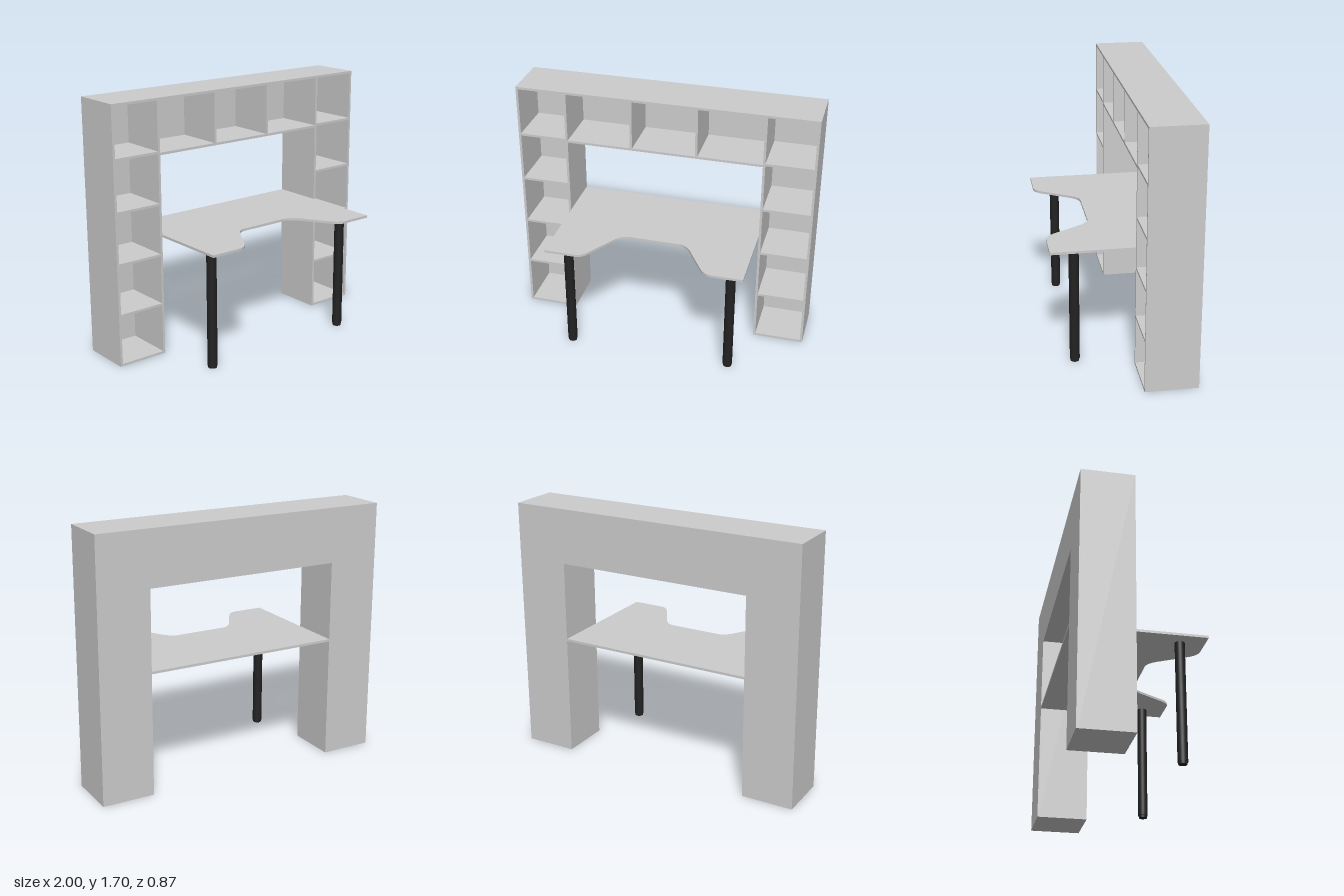
import * as THREE from 'three';

export function createModel() {
  const model = new THREE.Group();
  const grey = new THREE.MeshStandardMaterial({ color: 0xcccccc });
  const black = new THREE.MeshStandardMaterial({ color: 0x222222 });

  const T = 0.016;                      // board thickness
  const H = 1.695;                      // overall height
  const IN = 0.655;                     // inner face of the side towers
  const BACK = -0.435, FRONT = -0.095;
  const SHEET = 0.01;                   // back panel thickness

  function board(parent, name, x0, x1, y0, y1, z0 = BACK + SHEET, z1 = FRONT) {
    const mesh = new THREE.Mesh(new THREE.BoxGeometry(x1 - x0, y1 - y0, z1 - z0), grey);
    mesh.position.set((x0 + x1) / 2, (y0 + y1) / 2, (z0 + z1) / 2);
    mesh.name = name;
    parent.add(mesh);
  }

  // Shelf towers on both sides, five compartments each
  const pitch = (H - T) / 5;
  for (const side of [-1, 1]) {
    const tower = new THREE.Group();
    tower.name = side > 0 ? 'leftTower' : 'rightTower';
    const span = (a, b) => (side > 0 ? [a, b] : [-b, -a]);
    board(tower, 'outerPanel', ...span(1 - T, 1), 0, H);
    board(tower, 'innerPanel', ...span(IN, IN + T), 0, H);
    board(tower, 'backPanel', ...span(IN, 1), 0, H, BACK, BACK + SHEET);
    for (let i = 0; i <= 5; i++) {
      board(tower, 'shelf', ...span(IN + T, 1 - T), i * pitch, i * pitch + T);
    }
    model.add(tower);
  }

  // Bridge across the top, three compartments
  const bridge = new THREE.Group();
  bridge.name = 'bridge';
  const low = 1.333;
  board(bridge, 'bottomPanel', -IN, IN, low, low + T);
  board(bridge, 'topPanel', -IN, IN, H - T, H);
  board(bridge, 'backPanel', -IN, IN, low, H, BACK, BACK + SHEET);
  for (const x of [-0.219, 0.219]) {
    board(bridge, 'divider', x - T / 2, x + T / 2, low + T, H - T);
  }
  model.add(bridge);

  // Desk top with a curved recess in the front edge
  const D = 0.435;
  const outline = new THREE.Shape();
  outline.moveTo(-IN, -D);
  outline.lineTo(-0.45, -D);
  outline.quadraticCurveTo(-0.4, -D, -0.362, -0.37);
  outline.lineTo(-0.262, -0.205);
  outline.quadraticCurveTo(-0.22, -0.138, -0.17, -0.138);
  outline.lineTo(0.17, -0.138);
  outline.quadraticCurveTo(0.22, -0.138, 0.262, -0.205);
  outline.lineTo(0.362, -0.37);
  outline.quadraticCurveTo(0.4, -D, 0.45, -D);
  outline.lineTo(IN, -D);
  outline.lineTo(IN, D);
  outline.lineTo(-IN, D);
  outline.closePath();
  const topGeometry = new THREE.ExtrudeGeometry(outline, {
    depth: T, bevelEnabled: false, curveSegments: 12,
  });
  topGeometry.rotateX(-Math.PI / 2);
  const deskTop = new THREE.Mesh(topGeometry, grey);
  deskTop.name = 'deskTop';
  deskTop.position.y = 0.799;
  model.add(deskTop);

  // Round desk legs with slightly narrower feet
  for (const side of [-1, 1]) {
    const leg = new THREE.Group();
    leg.name = side > 0 ? 'leftLeg' : 'rightLeg';
    const post = new THREE.Mesh(new THREE.CylinderGeometry(0.032, 0.032, 0.784, 32), black);
    post.name = 'post';
    post.position.y = 0.407;
    const foot = new THREE.Mesh(new THREE.CylinderGeometry(0.028, 0.028, 0.016, 32), black);
    foot.name = 'foot';
    foot.position.y = 0.008;
    leg.add(post, foot);
    leg.position.set(side * 0.549, 0, 0.277);
    model.add(leg);
  }

  return model;
}
